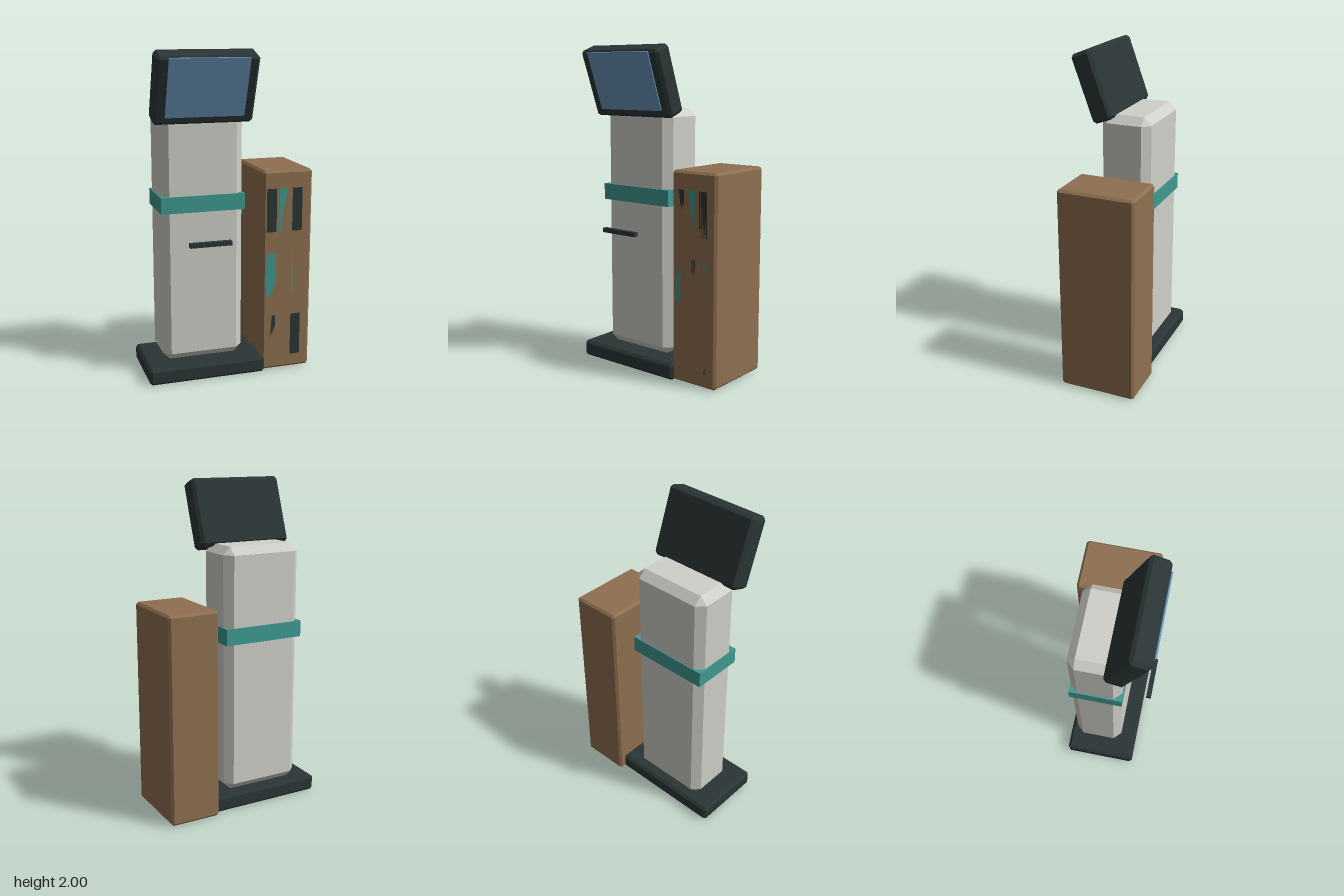
import * as THREE from 'three';
import { ConvexGeometry } from 'three/addons/geometries/ConvexGeometry.js';

const flat = (name, color) => {
  const m = new THREE.MeshStandardMaterial({ color });
  m.name = name;
  return m;
};

// Box with every edge cut at 45 degrees by c
function chamferBox(w, h, d, c) {
  const points = [];
  for (const sx of [-1, 1]) for (const sy of [-1, 1]) for (const sz of [-1, 1]) {
    for (let axis = 0; axis < 3; axis++) {
      const inset = [c, c, c];
      inset[axis] = 0;
      points.push(new THREE.Vector3(
        sx * (w / 2 - inset[0]), sy * (h / 2 - inset[1]), sz * (d / 2 - inset[2])));
    }
  }
  return new ConvexGeometry(points);
}

export function createModel() {
  const model = new THREE.Group();
  model.name = 'kiosk';
  const grey = flat('light grey', 0xd0d0ca);
  const dark = flat('charcoal', 0x2b3535);
  const teal = flat('teal', 0x3f9a92);
  const brown = flat('brown', 0x8f7050);
  const blue = flat('screen blue', 0x6a94b8);

  // Adds a block given its extents along each axis
  function block(name, material, [x0, x1], [y0, y1], [z0, z1], chamfer = 0) {
    const size = [x1 - x0, y1 - y0, z1 - z0];
    const geometry = chamfer ? chamferBox(...size, chamfer) : new THREE.BoxGeometry(...size);
    const mesh = new THREE.Mesh(geometry, material);
    mesh.name = name;
    mesh.position.set((x0 + x1) / 2, (y0 + y1) / 2, (z0 + z1) / 2);
    model.add(mesh);
    return mesh;
  }

  // Stand
  block('base', dark, [-0.52, 0.215], [0, 0.1], [-0.24, 0.215], 0.016);
  block('column', grey, [-0.408, 0.103], [0.1, 1.62], [-0.2, 0.11], 0.047);
  block('band', teal, [-0.414, 0.107], [1.04, 1.14], [-0.204, 0.117]);
  block('slot', dark, [-0.28, -0.024], [0.864, 0.891], [0.246, 0.276]);

  // Flush panels in a chequered 3 x 3 grid on the side cabinet
  for (let row = 0; row < 3; row++) {
    for (let col = 0; col < 3; col++) {
      const x = 0.255 + col * 0.083, y = 0.09 + row * 0.405;
      block('cabinetPanel', (row + col) % 2 ? teal : dark,
        [x - 0.032, x + 0.032], [y, y + 0.27], [0.187, 0.193]);
    }
  }
  block('sideCabinet', brown, [0.2, 0.517], [0.005, 1.28], [-0.282, 0.193], 0.014);

  // Display head, leaning forward at the top
  const head = new THREE.Group();
  head.name = 'displayHead';
  head.position.set(-0.155, 1.785, 0.144);
  head.rotation.x = THREE.MathUtils.degToRad(20);
  const housing = new THREE.Mesh(chamferBox(0.606, 0.42, 0.128, 0.018), dark);
  housing.name = 'displayHousing';
  const screen = new THREE.Mesh(new THREE.BoxGeometry(0.478, 0.362, 0.009), blue);
  screen.name = 'screen';
  screen.position.set(0.003, 0.023, 0.0665);
  head.add(housing, screen);
  model.add(head);

  return model;
}
